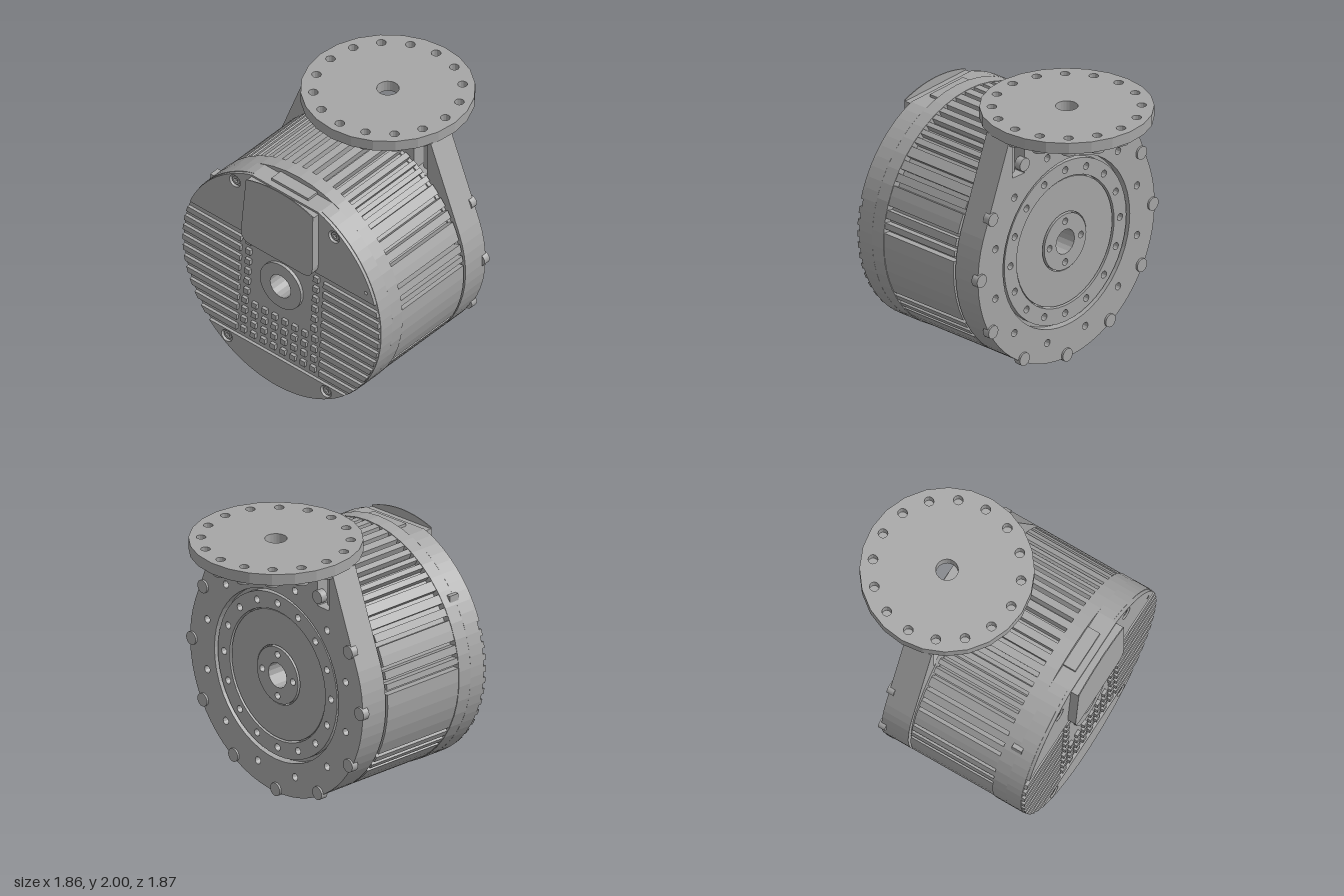
import * as THREE from 'three';

const CY = 0.93; // height of the drum axis
const grey = new THREE.MeshStandardMaterial({ color: 0xa6a6a6 });
grey.name = 'machined grey';

function mesh(name, geo, parent, x = 0, y = 0, z = 0) {
  const m = new THREE.Mesh(geo, grey);
  m.name = name;
  m.position.set(x, y, z);
  parent.add(m);
  return m;
}
const polar = (r, a) => [r * Math.cos(a), r * Math.sin(a)];
const rad = THREE.MathUtils.degToRad;
const poly = (pts) => new THREE.Shape(pts.map((p) => new THREE.Vector2(p[0], p[1])));
const arc = (r, a0, a1, n) => Array.from({ length: n + 1 }, (_, i) => polar(r, a0 + ((a1 - a0) * i) / n));
const disc = (r, n = 48) => poly(arc(r, 0, Math.PI * 2, n).slice(0, n));
function punch(shape, r, x = 0, y = 0, n = 16) {
  shape.holes.push(new THREE.Path(arc(r, 0, Math.PI * 2, n).slice(0, n).map((p) => new THREE.Vector2(p[0] + x, p[1] + y))));
  return shape;
}
function punchRing(shape, r, ringR, count, phase = 0) {
  for (let i = 0; i < count; i++) punch(shape, r, ...polar(ringR, phase + (i * 2 * Math.PI) / count), 12);
  return shape;
}
// Extrude a shape between two z positions
function slab(shape, z0, z1) {
  return new THREE.ExtrudeGeometry(shape, { depth: z1 - z0, bevelEnabled: false, curveSegments: 6 }).translate(0, 0, z0);
}
const rod = (r, len, n = 20) => new THREE.CylinderGeometry(r, r, len, n).rotateX(Math.PI / 2);

// Drum outline with narrow cooling slots, mirrored left and right
function finnedOutline() {
  const right = [-80, -71, -62, -54, -39, -34, -28.5, 6, 11, 17, 28.5, 34.5, 41, 48, 53, 57.6, 62, 67, 72, 78, 84];
  const slots = [...right, 90, ...right.map((a) => 180 - a)].sort((a, b) => a - b);
  const pts = [];
  const w = 1.1;
  slots.forEach((a, i) => {
    pts.push(polar(0.905, rad(a - w)), polar(0.85, rad(a - w)), polar(0.85, rad(a + w)), polar(0.905, rad(a + w)));
    const next = i + 1 < slots.length ? slots[i + 1] : slots[0] + 360;
    const gap = next - a - 2 * w;
    const n = Math.ceil(gap / 8);
    for (let k = 1; k < n; k++) pts.push(polar(0.905, rad(a + w + (gap * k) / n)));
  });
  return poly(pts);
}

// Round housing merging into a tapered bracket, with a slot beside each post
function bracketOutline() {
  const t = rad(20);
  const s = poly([[0.585, 0.99], [-0.585, 0.99], ...arc(0.905, Math.PI - t, 2 * Math.PI + t, 40)]);
  for (const k of [-1, 1]) {
    const c = [[0.43, 0.69], [0.55, 0.69], [0.55, 0.97], [0.43, 0.97]];
    s.holes.push(new THREE.Path(c.map((p) => new THREE.Vector2(k * p[0], p[1]))));
  }
  return s;
}

// Circle piece above yLo, optionally cut flat at yHi
function capPiece(r, yLo, yHi = 2) {
  const a = Math.asin(yLo / r);
  return poly(arc(r, a, Math.PI - a, 36).map(([x, y]) => [x, Math.min(y, yHi)]));
}

function buildDrum(g) {
  mesh('finnedBody', slab(punch(finnedOutline(), 0.095), -0.07, 0.61), g);
  mesh('bodyGroove', slab(punch(disc(0.865), 0.095), -0.1, -0.06), g);
}

function buildCover(g) {
  const c = new THREE.Group();
  c.name = 'frontCover';
  c.rotation.z = rad(-3);
  g.add(c);
  mesh('coverRim', slab(punch(disc(0.91), 0.095), 0.61, 0.72), c);
  const cut = poly(arc(0.91, 0, 2 * Math.PI, 72).slice(0, 72).map(([x, y]) => [x, Math.min(y, 0.85)]));
  mesh('coverBase', slab(punch(cut, 0.095), 0.72, 0.845), c);
  // Raised face above and below the recess
  const upper = capPiece(0.905, 0.3, 0.85);
  const lower = poly(capPiece(0.905, 0.655).getPoints().map((p) => [-p.x, -p.y]));
  for (const k of [-1, 1]) {
    punch(upper, 0.05, k * 0.458, 0.71);
    punch(lower, 0.05, k * 0.458, -0.71);
    for (const s of [-1, 1]) {
      mesh('coverScrew', slab(punch(disc(0.034, 16), 0.018, 0, 0, 6), 0.845, 0.86), c, k * 0.458, s * 0.71);
    }
  }
  punch(upper, 0.014, 0.77, 0.37, 8);
  mesh('upperFace', slab(upper, 0.845, 0.87), c);
  mesh('lowerFace', slab(lower, 0.845, 0.87), c);
  mesh('boreCollar', slab(punch(disc(0.19, 32), 0.095), 0.84, 0.87), c);
  // Cooling bars on both sides
  for (let i = 0; i < 10; i++) {
    const y = 0.22 - i * 0.09;
    const [a, b] = [y - 0.023, y + 0.023];
    const xa = Math.sqrt(0.905 ** 2 - a * a);
    const xb = Math.sqrt(0.905 ** 2 - b * b);
    mesh('coolingBarLeft', slab(poly([[0.38, a], [xa, a], [xb, b], [0.38, b]]), 0.843, 0.87), c);
    mesh('coolingBarRight', slab(poly([[-0.38, a], [-0.38, b], [-xb, b], [-xa, a]]), 0.843, 0.87), c);
  }
  // Square cooling pins
  const pin = new THREE.BoxGeometry(0.045, 0.045, 0.03);
  for (let i = 0; i < 6; i++) for (const k of [-1, 1]) mesh('coolingPin', pin, c, k * 0.31, 0.23 - i * 0.09, 0.855);
  for (let j = 0; j < 4; j++) for (let i = 0; i < 8; i++) mesh('coolingPin', pin, c, -0.322 + i * 0.092, -0.31 - j * 0.09, 0.855);
  // Terminal box with rounded lower corners and a thin raised front lip
  const box = (top) => {
    const s = new THREE.Shape();
    s.moveTo(-0.31, 0.835);
    s.lineTo(-0.33, 0.38);
    s.quadraticCurveTo(-0.33, 0.29, -0.24, 0.29);
    s.lineTo(0.24, 0.29);
    s.quadraticCurveTo(0.33, 0.29, 0.33, 0.38);
    s.lineTo(0.31, 0.835);
    top.forEach((p) => s.lineTo(p[0], p[1]));
    return s;
  };
  mesh('terminalBox', slab(box([]), 0.86, 0.928), c);
  mesh('terminalBoxLip', slab(box(arc(0.9, rad(70), rad(110), 10)), 0.928, 0.935), c);
  mesh('cableEntry', new THREE.BoxGeometry(0.34, 0.1, 0.12), c, 0, 0.82, 0.76);
  mesh('coverLug', new THREE.BoxGeometry(0.07, 0.05, 0.08), c, -0.74, 0.5, 0.71);
}

function buildBack(g) {
  mesh('bracketHousing', slab(punch(bracketOutline(), 0.095), -0.25, -0.09), g);
  const rim = punch(bracketOutline(), 0.65, 0, 0, 48);
  mesh('backRim', slab(punchRing(rim, 0.028, 0.75, 12, rad(15)), -0.31, -0.25), g);
  const ring = punch(disc(0.625), 0.5, 0, 0, 48);
  mesh('backRing', slab(punchRing(ring, 0.027, 0.56, 16), -0.3, -0.25), g);
  mesh('backDisc', slab(punch(disc(0.49), 0.225, 0, 0, 32), -0.29, -0.25), g);
  const hub = punch(disc(0.215, 32), 0.095);
  mesh('backHub', slab(punchRing(hub, 0.026, 0.16, 4), -0.3, -0.25), g);
  // Bolts around the rim
  for (let i = 0; i < 12; i++) {
    const [x, y] = polar(0.88, (i * Math.PI) / 6);
    mesh('rimBolt', rod(0.05, 0.055), g, x, y, -0.2975);
  }
}

function buildMount(root) {
  const flange = punch(disc(0.62, 24), 0.08, 0, 0, 24);
  punchRing(flange, 0.035, 0.53, 16);
  const geo = new THREE.ExtrudeGeometry(flange, { depth: 0.085, bevelEnabled: false }).rotateX(Math.PI / 2);
  mesh('mountFlange', geo, root, 0, 2, -0.315);
  // Blind bosses closing the flange holes from below
  for (let i = 0; i < 16; i++) {
    const [x, z] = polar(0.53, (i * Math.PI) / 8);
    mesh('flangeBoss', new THREE.CylinderGeometry(0.052, 0.052, 0.05, 18), root, x, 1.905, z - 0.315);
  }
  for (const k of [-1, 1]) {
    mesh('post', new THREE.CylinderGeometry(0.05, 0.05, 0.34, 20), root, k * 0.49, 1.75, -0.2);
  }
}

export function createModel() {
  const root = new THREE.Group();
  root.name = 'motorWithMount';
  const drum = new THREE.Group();
  drum.name = 'motor';
  drum.position.y = CY;
  root.add(drum);
  buildDrum(drum);
  buildCover(drum);
  buildBack(drum);
  buildMount(root);
  return root;
}
